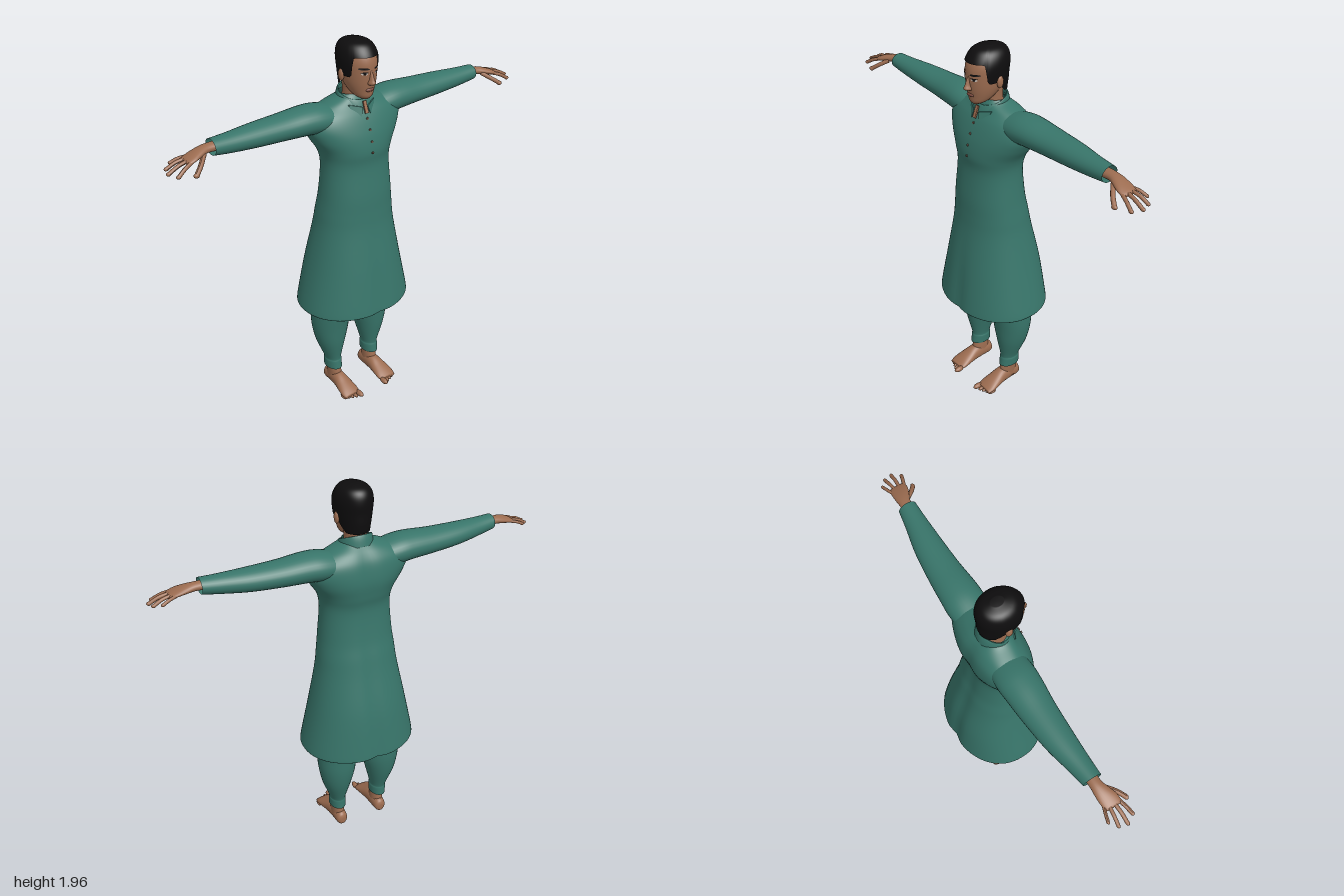
import * as THREE from 'three';

const mat = (name, color, side = THREE.FrontSide) => {
  const m = new THREE.MeshStandardMaterial({ color, side });
  m.name = name;
  return m;
};

// Smooth interpolation through cross-section rows, t from 0 to 1
function sample(rows, t) {
  const f = Math.min(Math.max(t, 0), 1) * (rows.length - 1);
  const i = Math.min(Math.floor(f), rows.length - 2), k = f - i;
  const row = (n) => rows[Math.min(Math.max(n, 0), rows.length - 1)];
  const [a, b, c, d] = [row(i - 1), row(i), row(i + 1), row(i + 2)];
  return b.map((p, j) => p + 0.5 * k * (c[j] - a[j] +
    k * (2 * a[j] - 5 * p + 4 * c[j] - d[j] + k * (3 * (p - c[j]) + d[j] - a[j]))));
}

// Loft of rounded sections. Row: [position on axis, centre u, centre v, radius u, radius v]
function loft(rows, axis, { seg = 32, steps = 32, power = 2, caps = true, start = null, rule = null } = {}) {
  const pos = [], idx = [];
  const put = (t, u, v) => {
    const p = axis === 'y' ? [u, t, v] : axis === 'x' ? [t, u, v] : [u, v, t];
    pos.push(...(rule ? rule(p) : p));
  };
  const sup = (c) => Math.sign(c) * Math.abs(c) ** (2 / power);
  const tri = (a, b, c) => (axis === 'y' ? idx.push(a, c, b) : idx.push(a, b, c));
  for (let i = 0; i <= steps; i++) for (let j = 0; j < seg; j++) {
    const th = (j / seg) * Math.PI * 2, s0 = start ? start(Math.sin(th)) : 0;
    const [t, u, v, ru, rv] = sample(rows, s0 + (1 - s0) * i / steps);
    put(t, u + ru * sup(Math.cos(th)), v + rv * sup(Math.sin(th)));
  }
  for (let i = 0; i < steps; i++) for (let j = 0; j < seg; j++) {
    const a = i * seg + j, b = i * seg + (j + 1) % seg;
    tri(a, b, b + seg);
    tri(a, b + seg, a + seg);
  }
  if (caps) {
    const n = pos.length / 3, last = rows[rows.length - 1], e = steps * seg;
    put(...rows[0].slice(0, 3));
    put(...last.slice(0, 3));
    for (let j = 0; j < seg; j++) {
      const k = (j + 1) % seg;
      if (!start) tri(n, k, j);
      tri(n + 1, e + j, e + k);
    }
  }
  const g = new THREE.BufferGeometry();
  g.setAttribute('position', new THREE.Float32BufferAttribute(pos, 3));
  g.setIndex(idx);
  g.computeVertexNormals();
  return g;
}

function mirrored(geo) {
  const g = geo.clone().scale(-1, 1, 1), a = g.index.array;
  for (let i = 0; i < a.length; i += 3) [a[i], a[i + 1]] = [a[i + 1], a[i]];
  g.computeVertexNormals();
  return g;
}

const ball = (x, y, z, rx, ry, rz) => new THREE.SphereGeometry(1, 16, 12).scale(rx, ry, rz).translate(x, y, z);
const smooth = THREE.MathUtils.smoothstep;

// Height of the front surface of an upright loft at (x, y)
function frontZ(rows, x, y) {
  let t = 0;
  while (t < 1 && sample(rows, t)[0] < y) t += 0.002;
  const [, u, v, ru, rv] = sample(rows, t);
  return v + rv * Math.sqrt(Math.max(0, 1 - ((x - u) / ru) ** 2));
}

const HEAD = [[1.688, 0, .09, .02, .028], [1.703, 0, .083, .042, .048], [1.73, 0, .065, .06, .071],
  [1.77, 0, .05, .074, .093], [1.82, 0, .042, .081, .105], [1.87, 0, .038, .083, .107],
  [1.91, 0, .033, .072, .095], [1.94, 0, .028, .045, .06]];
const HAIR = [[1.73, 0, -.005, .062, .06], [1.78, 0, .035, .08, .108], [1.83, 0, .039, .089, .114],
  [1.88, 0, .035, .092, .114], [1.92, 0, .028, .082, .1], [1.945, 0, .025, .06, .075], [1.958, 0, .023, .022, .03]];
const TUNIC = [[.56, 0, 0, .3, .245], [.58, 0, 0, .302, .246], [.8, 0, -.001, .255, .217], [1, 0, .006, .215, .178],
  [1.1, 0, .012, .202, .163], [1.2, 0, .02, .19, .15], [1.35, 0, .02, .18, .135], [1.43, 0, .016, .195, .145],
  [1.5, 0, .006, .238, .145], [1.56, 0, -.002, .265, .133], [1.61, 0, -.008, .25, .115],
  [1.65, 0, -.01, .18, .09], [1.682, 0, -.002, .095, .068], [1.7, 0, 0, .07, .058]];
const SLEEVE = [[.1, 1.59, -.01, .06, .085], [.2, 1.602, -.012, .07, .095], [.28, 1.607, -.012, .068, .092],
  [.4, 1.606, -.013, .061, .082], [.55, 1.608, -.008, .054, .07], [.68, 1.613, .003, .045, .054], [.77, 1.62, .01, .038, .045]];
const TROUSER = [[.12, .125, -.01, .042, .06], [.165, .125, -.012, .044, .056], [.19, .126, -.014, .044, .056],
  [.3, .132, -.022, .078, .085], [.4, .13, -.025, .1, .1], [.5, .13, -.02, .104, .108],
  [.6, .13, -.02, .104, .112], [.8, .115, -.01, .11, .12], [.95, .1, -.01, .1, .12]];
const HAND = [[.73, 1.62, .012, .022, .03], [.79, 1.622, .012, .02, .028], [.83, 1.617, .018, .019, .036],
  [.87, 1.608, .026, .016, .043], [.9, 1.6, .029, .012, .041], [.91, 1.598, .03, .006, .034]];
const FOOT = [[-.076, .12, .035, .012, .018], [-.06, .12, .04, .031, .038], [0, .12, .046, .036, .046],
  [.05, .121, .043, .04, .044], [.1, .123, .032, .048, .032], [.14, .124, .022, .052, .022], [.17, .124, .014, .047, .012]];

export function createModel() {
  const model = new THREE.Group();
  const cloth = mat('green cloth', 0x38756a, THREE.DoubleSide);
  const skin = mat('skin', 0x9c6c50);
  const black = mat('black hair', 0x0e0d0e, THREE.DoubleSide);
  const white = mat('eye white', 0xc9bfb6);
  const lip = mat('lip', 0x7d4a3e);
  const brown = mat('button brown', 0x6a5546);
  const add = (name, geo, m) => {
    const mesh = new THREE.Mesh(geo, m);
    mesh.name = name;
    model.add(mesh);
  };
  const pair = (name, geo, m) => {
    add('left ' + name, geo, m);
    add('right ' + name, mirrored(geo), m);
  };

  // Long tunic, open at the hem, with a groove down the back and a dip in the front of the skirt
  const fold = ([x, y, z]) => {
    const depth = z < 0 ? 0.06 : 0.04 * (1 - smooth(y, .6, 1.1));
    return [x, y, z * (1 - depth * Math.exp(-((x / .04) ** 2)))];
  };
  add('tunic', loft(TUNIC, 'y', { seg: 72, steps: 72, power: 2.15, caps: false, rule: fold }), cloth);
  pair('sleeve', loft(SLEEVE, 'x', { caps: false }), cloth);
  pair('trouser leg', loft(TROUSER, 'y', { steps: 40, caps: false }), cloth);

  // Standing collar, lower at the front, with two small points and an open notch
  const collar = [[1.645, 0, .012, .09, .09], [1.68, 0, .012, .086, .082], [1.705, 0, .01, .08, .07], [1.703, 0, .01, .072, .063]];
  add('collar', loft(collar, 'y', { steps: 12, caps: false, rule: ([x, y, z]) => [x, y - z * .42, z] }), cloth);
  const point = new THREE.Shape([[.014, 1.645], [.03, 1.595], [.062, 1.605], [.075, 1.66]].map((p) => new THREE.Vector2(...p)));
  const pointGeo = new THREE.ExtrudeGeometry(point, { depth: .006, bevelEnabled: false });
  const pp = pointGeo.attributes.position;
  for (let i = 0; i < pp.count; i++) pp.setZ(i, pp.getZ(i) + .118 - pp.getX(i) * .45 - (pp.getY(i) - 1.6) * .3);
  pointGeo.computeVertexNormals();
  add('left collar point', pointGeo, cloth);
  const otherPoint = new THREE.ExtrudeGeometry(new THREE.Shape(point.getPoints().map((p) => new THREE.Vector2(-p.x, p.y))),
    { depth: .006, bevelEnabled: false });
  const op = otherPoint.attributes.position;
  for (let i = 0; i < op.count; i++) op.setZ(i, op.getZ(i) + .118 + op.getX(i) * .45 - (op.getY(i) - 1.6) * .3);
  otherPoint.computeVertexNormals();
  add('right collar point', otherPoint, cloth);
  add('neck opening', new THREE.BoxGeometry(.018, .06, .008).rotateX(-.35).translate(0, 1.643, .104), skin);

  // Buttons
  for (const y of [1.59, 1.54, 1.485, 1.43]) {
    add('button', new THREE.CylinderGeometry(.006, .006, .006, 12).rotateX(Math.PI / 2)
      .translate(0, y, frontZ(TUNIC, 0, y) + .002), brown);
  }

  // Neck, head and hair
  add('neck', loft([[1.6, 0, .005, .062, .06], [1.67, 0, .008, .055, .055], [1.72, 0, .012, .054, .056], [1.79, 0, .015, .058, .07]], 'y'), skin);
  add('head', loft(HEAD, 'y', { seg: 40, steps: 40 }), skin);
  const hairline = (s) => .03 + .2 * smooth(s, -.3, 0) + .32 * smooth(s, .42, .66);
  add('hair', loft(HAIR, 'y', { seg: 64, start: hairline }), black);
  pair('ear', ball(.086, 1.8, .03, .012, .03, .018).rotateZ(0), skin);

  // Face
  add('nose', loft([[1.762, 0, .135, .011, .01], [1.772, 0, .143, .018, .028], [1.79, 0, .142, .012, .023],
    [1.82, 0, .139, .008, .014], [1.84, 0, .136, .006, .009]], 'y', { seg: 16, steps: 16 }), skin);
  const decal = (x, y, w, h, tilt, lift) => {
    const g = new THREE.CircleGeometry(1, 20).scale(w, h, 1).rotateZ(tilt).translate(x, y, 0);
    const p = g.attributes.position;
    for (let i = 0; i < p.count; i++) p.setZ(i, frontZ(HEAD, p.getX(i), p.getY(i)) + lift);
    g.computeVertexNormals();
    return g;
  };
  pair('eye', decal(.034, 1.82, .014, .006, 0, .002), white);
  pair('iris', decal(.034, 1.82, .006, .006, 0, .0035), black);
  pair('eyelash', decal(.034, 1.826, .016, .003, 0, .004), black);
  pair('eyebrow', decal(.036, 1.843, .023, .005, .06, .003), black);
  add('lips', ball(0, 1.738, frontZ(HEAD, 0, 1.738) - .002, .024, .009, .008), lip);

  // Hands
  pair('hand', loft(HAND, 'x', { seg: 24, steps: 20 }), skin);
  const fingers = [
    ['thumb', .011, [.82, 1.61, .04], [.86, 1.583, .08], [.895, 1.558, .105]],
    ['index finger', .009, [.885, 1.602, .058], [.93, 1.587, .074], [.968, 1.565, .086]],
    ['middle finger', .009, [.885, 1.604, .036], [.945, 1.592, .042], [.992, 1.57, .044]],
    ['ring finger', .0085, [.885, 1.604, .014], [.94, 1.595, .008], [.982, 1.575, .004]],
    ['little finger', .0075, [.875, 1.604, -.004], [.915, 1.598, -.018], [.948, 1.585, -.026]],
  ];
  for (const [name, r, ...pts] of fingers) {
    const path = new THREE.CatmullRomCurve3(pts.map((p) => new THREE.Vector3(...p)));
    pair(name, new THREE.TubeGeometry(path, 10, r, 10), skin);
    pair(name + ' tip', ball(...pts[2], r * 1.3, r, r), skin);
  }

  // Bare feet with toes
  pair('foot', loft(FOOT, 'z', { rule: ([x, y, z]) => [x, Math.max(y, .004), z] }), skin);
  pair('ankle', loft([[.03, .121, -.008, .034, .05], [.08, .122, -.004, .034, .05], [.12, .124, -.006, .034, .044],
    [.18, .125, -.01, .034, .042]], 'y', { seg: 24, steps: 12 }), skin);
  for (let i = 0; i < 5; i++) {
    const r = i ? .0105 - i * .0006 : .015;
    pair('toe', ball(i ? .091 + i * .0195 : .086, r, .18 - i * .009, r, r, i ? .024 : .03), skin);
  }
  return model;
}
